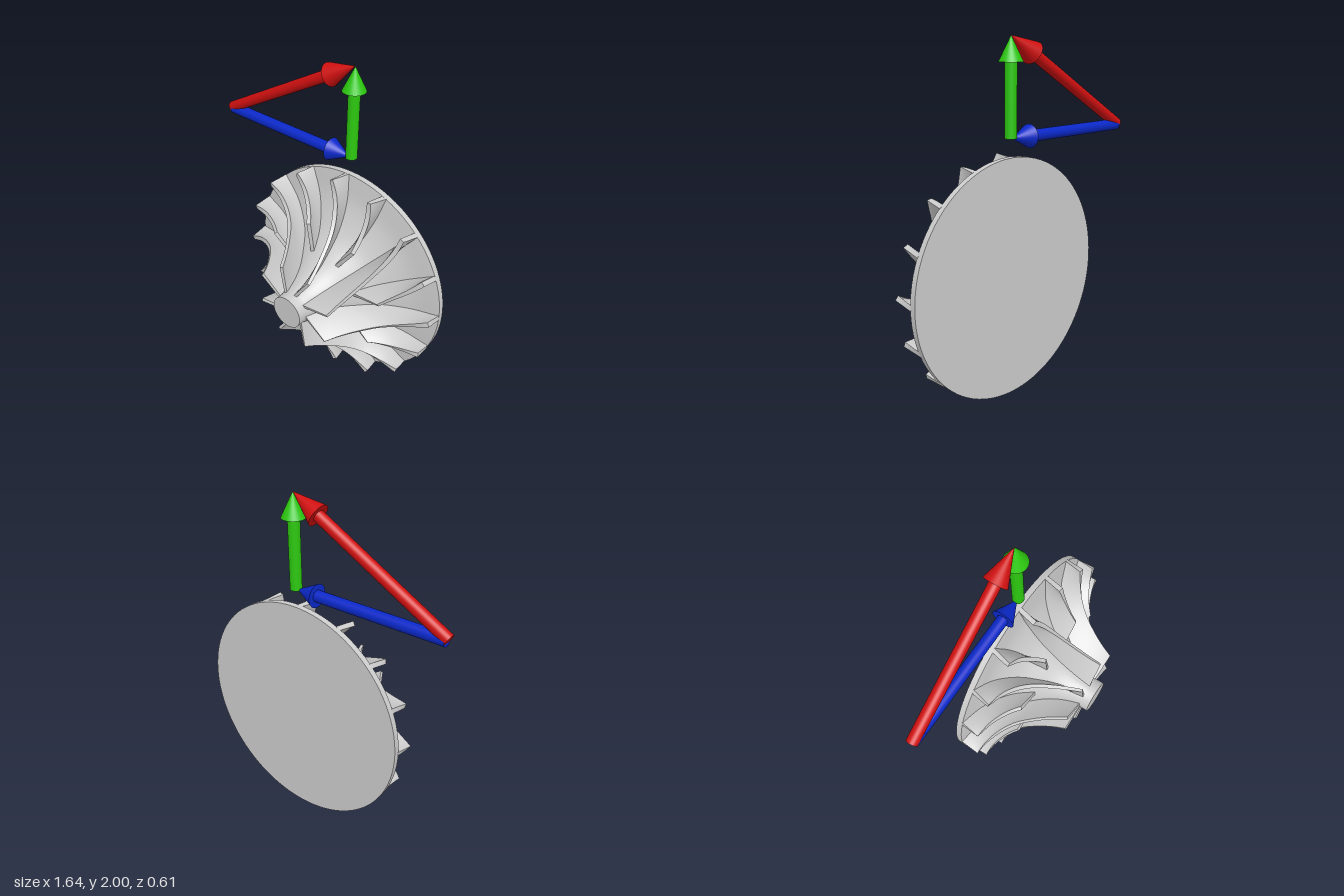
import * as THREE from 'three';
import { toCreasedNormals } from 'three/addons/utils/BufferGeometryUtils.js';

// Matching stations along hub and blade tip: radius, z, angle in degrees
const curve = (pts) => new THREE.CatmullRomCurve3(pts.map((p) => new THREE.Vector3(...p)));
const hubCurve = curve([
  [0.1, 0.25, -11], [0.13, 0.165, -9], [0.175, 0.08, -7], [0.24, 0, -5],
  [0.35, -0.105, -3], [0.51, -0.185, -1], [0.68, -0.22, 1],
]);
const tipCurve = curve([
  [0.265, 0.25, -26], [0.3, 0.175, -20], [0.35, 0.095, -14.5], [0.425, 0.005, -9],
  [0.5, -0.05, -5], [0.59, -0.09, -1], [0.68, -0.11, 3],
]);

function onWheel(path, s) {
  const { x: r, y: z, z: deg } = path.getPoint(s);
  const a = THREE.MathUtils.degToRad(deg);
  return new THREE.Vector3(r * Math.cos(a), r * Math.sin(a), z);
}

// Solid blade: straight rulings from hub to tip, thickened along the normal
function bladeGeometry(start) {
  const S = 28, T = 5, L = 2 * (T + 1), e = 0.004;
  const at = (s, t) => onWheel(hubCurve, s).lerp(onWheel(tipCurve, s), t);
  const rings = [];
  for (let i = 0; i <= S; i++) {
    const s = start + (1 - start) * i / S;
    const half = 0.009 + 0.005 * s;
    const front = [], back = [];
    for (let j = 0; j <= T; j++) {
      const t = -0.06 + 1.06 * j / T;
      const p = at(s, t);
      const ds = at(Math.min(1, s + e), t).sub(at(Math.max(0, s - e), t));
      const dt = at(s, 1).sub(at(s, 0));
      const n = ds.cross(dt).normalize().multiplyScalar(half);
      front.push(p.clone().add(n));
      back.unshift(p.clone().sub(n));
    }
    rings.push([...front, ...back]);
  }
  const pos = [];
  const quad = (a, b, c, d) => [a, b, c, a, c, d].forEach((v) => pos.push(v.x, v.y, v.z));
  for (let i = 0; i < S; i++) {
    for (let k = 0; k < L; k++) {
      const m = (k + 1) % L;
      quad(rings[i][k], rings[i + 1][k], rings[i + 1][m], rings[i][m]);
    }
  }
  // End caps
  const A = rings[0], B = rings[S];
  for (let k = 0; k < T; k++) {
    quad(A[k], A[k + 1], A[L - 2 - k], A[L - 1 - k]);
    quad(B[L - 1 - k], B[L - 2 - k], B[k + 1], B[k]);
  }
  const g = new THREE.BufferGeometry();
  g.setAttribute('position', new THREE.Float32BufferAttribute(pos, 3));
  return toCreasedNormals(g, 0.7);
}

// Arrow with a flat-ended shaft and a cone head
function arrow(name, color, from, to, headLength) {
  const group = new THREE.Group();
  group.name = name;
  const mat = new THREE.MeshStandardMaterial({ color });
  const a = new THREE.Vector3(...from), dir = new THREE.Vector3(...to).sub(a);
  const len = dir.length(), shaftLen = len - headLength;
  const shaft = new THREE.Mesh(new THREE.CylinderGeometry(0.033, 0.033, shaftLen, 32), mat);
  shaft.name = 'shaft';
  shaft.position.y = shaftLen / 2;
  const head = new THREE.Mesh(new THREE.ConeGeometry(0.066, headLength, 32), mat);
  head.name = 'head';
  head.position.y = len - headLength / 2;
  group.add(shaft, head);
  group.position.copy(a);
  group.quaternion.setFromUnitVectors(new THREE.Vector3(0, 1, 0), dir.normalize());
  return group;
}

export function createModel() {
  const model = new THREE.Group();
  model.name = 'impellerWithVelocityTriangle';
  const grey = new THREE.MeshStandardMaterial({ color: 0xcccccc });

  const wheel = new THREE.Group();
  wheel.name = 'impeller';
  wheel.position.set(0.135, 0.69, 0);
  model.add(wheel);

  // Back disc, flared hub and nose turned as one piece
  const flare = hubCurve.getPoints(36).reverse().map((p) => new THREE.Vector2(p.x, p.y));
  const profile = [
    new THREE.Vector2(0, -0.255), new THREE.Vector2(0.68, -0.255), ...flare,
    new THREE.Vector2(0.1, 0.305), new THREE.Vector2(0, 0.305),
  ];
  const hubGeo = toCreasedNormals(new THREE.LatheGeometry(profile, 96).rotateX(Math.PI / 2), 0.4);
  const hub = new THREE.Mesh(hubGeo, grey);
  hub.name = 'hub';
  wheel.add(hub);

  // Eight full blades alternating with eight shorter splitters
  const fullGeo = bladeGeometry(0), splitterGeo = bladeGeometry(0.5);
  for (let i = 0; i < 16; i++) {
    const blade = new THREE.Mesh(i % 2 ? splitterGeo : fullGeo, grey);
    blade.name = i % 2 ? 'splitterBlade' : 'fullBlade';
    blade.rotation.z = i * Math.PI / 8;
    wheel.add(blade);
  }

  // Velocity triangle above the wheel
  const z = -0.237;
  model.add(
    arrow('redArrow', 0xd01010, [-0.8, 1.475, z], [0.135, 2, z], 0.187),
    arrow('blueArrow', 0x0a28c8, [-0.79, 1.47, z], [0.125, 1.47, z], 0.135),
    arrow('greenArrow', 0x2cc80f, [0.135, 1.47, z], [0.135, 2, z], 0.135),
  );
  return model;
}
